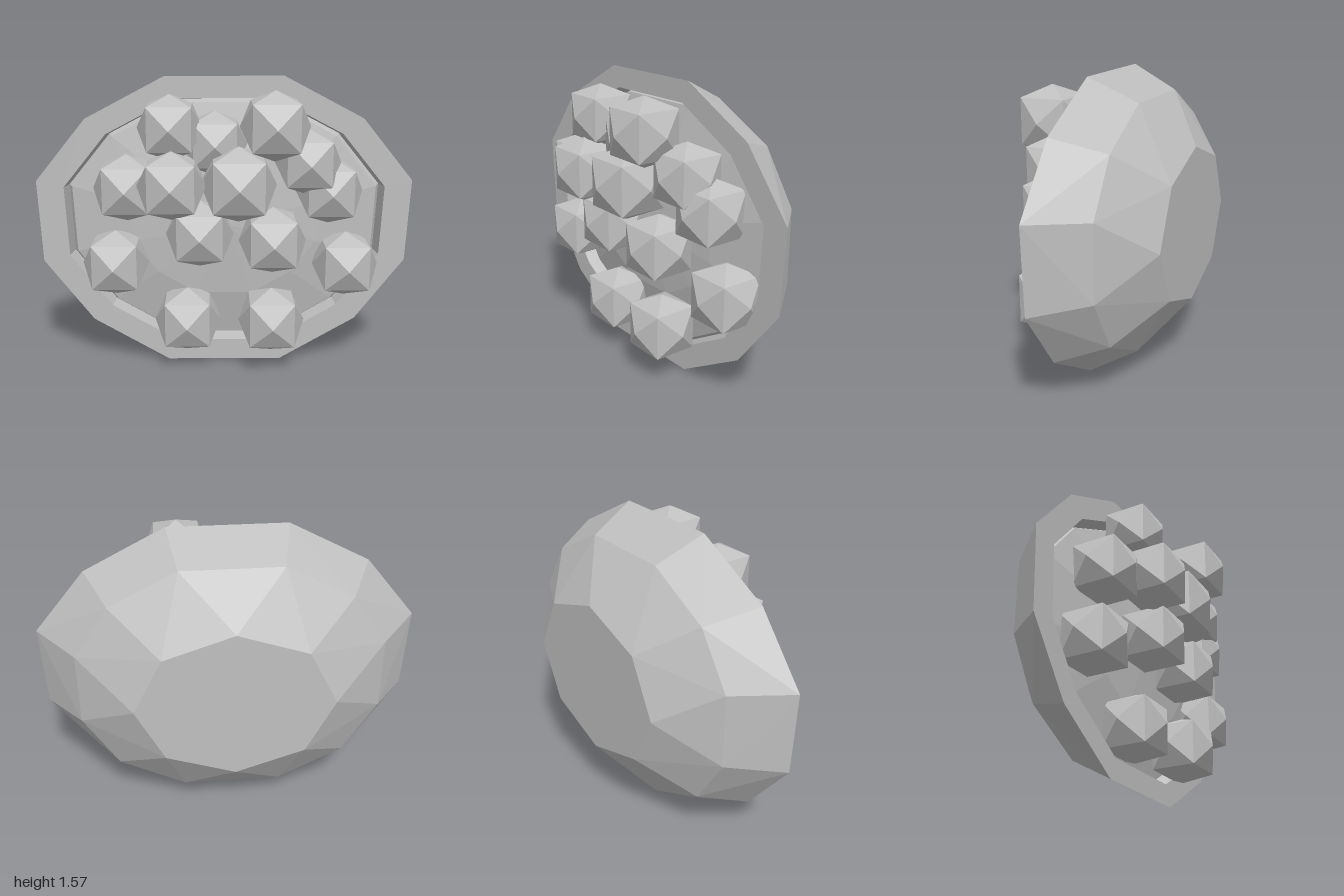
import * as THREE from 'three';
import { ConvexGeometry } from 'three/addons/geometries/ConvexGeometry.js';

const CY = 0.79;

// Mirror a right-hand profile (bottom to top) into a closed counter-clockwise ring
function ring(half, z) {
  const left = half.slice().reverse().map(([x, y]) => [-x, y]);
  return half.concat(left).map(([x, y]) => new THREE.Vector3(x, y, z));
}

// Copy a ring, shrunk towards the centre and moved to depth z
function shrink(points, s, z) {
  return points.map((p) => new THREE.Vector3(p.x * s, CY + (p.y - CY) * s, z));
}

function faceted(points) {
  const g = new THREE.BufferGeometry().setFromPoints(points);
  g.computeVertexNormals();
  return g;
}

// Faceted surface through nested rings, outermost first
function loft(rings) {
  const out = [];
  for (let r = 0; r < rings.length - 1; r++) {
    const a = rings[r], b = rings[r + 1];
    for (let i = 0; i < a.length; i++) {
      const j = (i + 1) % a.length;
      out.push(a[i], a[j], b[j], a[i], b[j], b[i]);
    }
  }
  return faceted(out);
}

// Convex hull with its flat front cover removed
function openHull(points) {
  const hull = new ConvexGeometry(points);
  const p = hull.attributes.position, out = [];
  const tri = new THREE.Triangle(), n = new THREE.Vector3();
  for (let i = 0; i < p.count; i += 3) {
    tri.setFromAttributeAndIndices(p, i, i + 1, i + 2);
    if (tri.getNormal(n).z < 0.9) out.push(tri.a.clone(), tri.b.clone(), tri.c.clone());
  }
  return faceted(out);
}

// Cube with a low pyramid on each side: the 24-sided nodule
function noduleGeometry() {
  const pts = [], c = 0.118, r = 0.177;
  for (const s of [-1, 1]) {
    pts.push(new THREE.Vector3(s * r, 0, 0), new THREE.Vector3(0, s * r, 0), new THREE.Vector3(0, 0, s * r));
    for (const t of [-1, 1]) for (const u of [-1, 1]) pts.push(new THREE.Vector3(s * c, t * c, u * c));
  }
  return new ConvexGeometry(pts);
}

export function createModel() {
  const group = new THREE.Group();
  const stone = new THREE.MeshStandardMaterial({ color: 0xbfbfbf });
  stone.name = 'greyStone';
  const add = (name, geometry, parent = group) => {
    const mesh = new THREE.Mesh(geometry, stone);
    mesh.name = name;
    parent.add(mesh);
    return mesh;
  };

  // Outer half shell: rim, middle ring and flat eight-sided back
  const rim = ring([[0.31, 0], [0.72, 0.24], [0.98, 0.58], [1, 1.02], [0.73, 1.35], [0.31, 1.57]], 0.03);
  const middle = ring([[0.26, 0.14], [0.61, 0.32], [0.79, 0.61], [0.79, 1], [0.61, 1.27], [0.26, 1.45]], -0.22);
  const back = [];
  for (let i = 0; i < 8; i++) {
    const a = (i * Math.PI) / 4;
    back.push(new THREE.Vector3(0.51 * Math.cos(a), CY + 0.415 * Math.sin(a), -0.43));
  }
  add('outerShell', openHull([...rim, ...middle, ...back]));

  // Flat lip and the inside wall of the opening
  add('rimLip', loft([rim, shrink(rim, 0.855, 0.03), shrink(rim, 0.84, -0.07)]));

  // Low mound filling the opening
  add('innerMound', loft([
    shrink(rim, 0.84, -0.07), shrink(rim, 0.82, -0.03), shrink(rim, 0.5, 0.03), shrink(rim, 0, 0.07),
  ]));

  // Nodules: x, y, z and scale
  const nodules = new THREE.Group();
  nodules.name = 'nodules';
  group.add(nodules);
  const geometry = noduleGeometry();
  [
    [-0.28, 1.32, 0.14, 0.95], [0.25, 1.34, 0.25, 1], [-0.05, 1.23, 0.08, 0.95],
    [0.43, 1.14, 0.13, 0.97], [0.55, 0.98, 0.08, 1], [-0.51, 1.0, 0.1, 1],
    [-0.27, 1.04, 0.25, 1], [0.07, 1.04, 0.22, 1.1], [-0.13, 0.77, 0.17, 1],
    [0.25, 0.73, 0.16, 1], [-0.58, 0.59, 0.09, 1], [0.65, 0.57, 0.06, 1],
    [-0.2, 0.27, 0.1, 1], [0.25, 0.28, 0.14, 1],
  ].forEach(([x, y, z, s], i) => {
    const mesh = add('nodule' + (i + 1), geometry, nodules);
    mesh.position.set(x, y, z);
    mesh.scale.setScalar(s);
  });

  return group;
}
